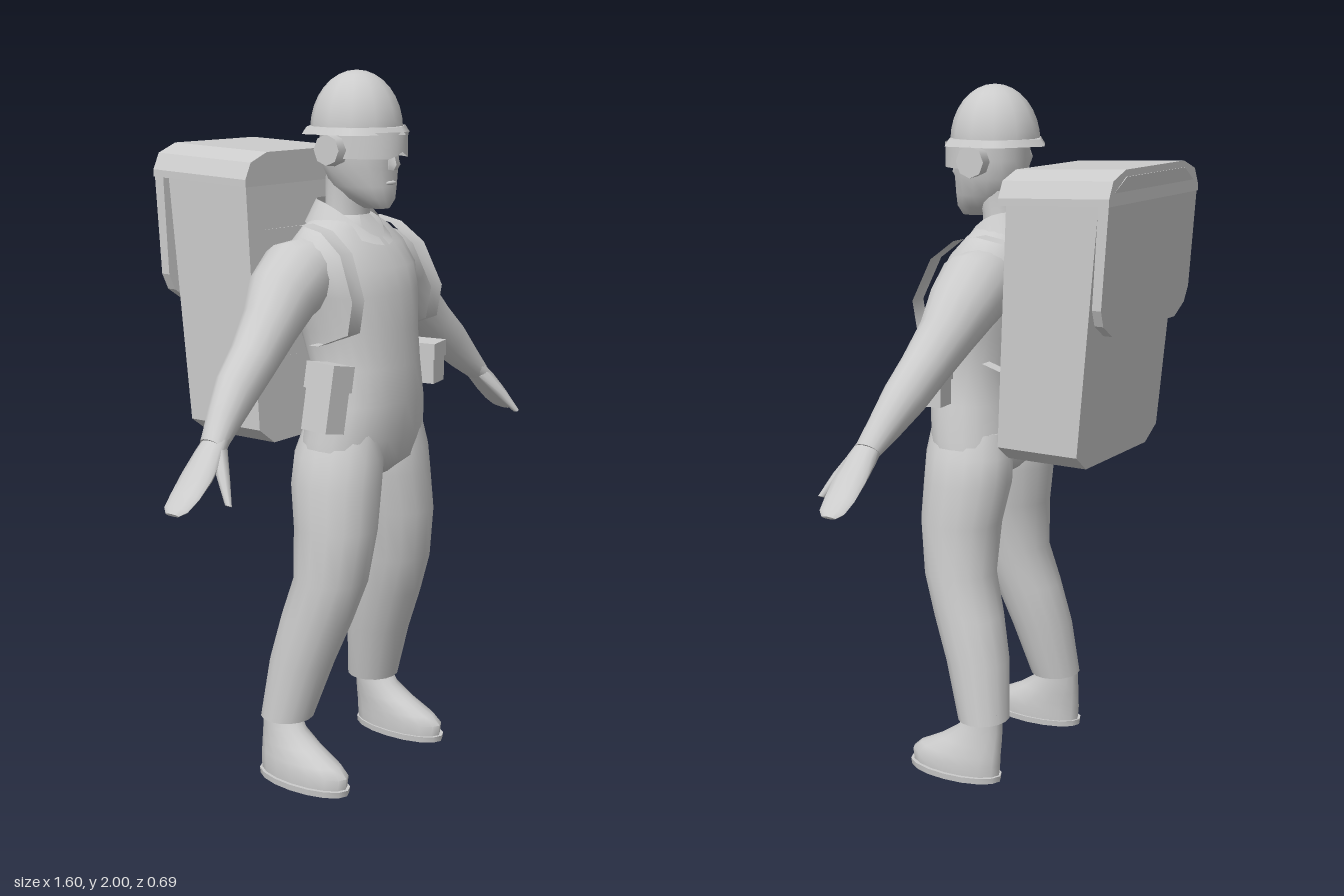
import * as THREE from 'three';
import { toCreasedNormals } from 'three/addons/utils/BufferGeometryUtils.js';

const grey = new THREE.MeshStandardMaterial({ color: 0xcccccc });
const thin = new THREE.MeshStandardMaterial({ color: 0xcccccc, side: THREE.DoubleSide });

// Closed skin over oval rings [x, y, z, ru, rz]; upright keeps the rings level
function loft(rings, { upright = true, sides = 16, square = 1 } = {}) {
  const first = rings[0], last = rings[rings.length - 1];
  const all = [[...first.slice(0, 3), 0, 0], ...rings, [...last.slice(0, 3), 0, 0]];
  const up = last[1] > first[1] ? 1 : -1;
  const pos = [], index = [];
  const bend = v => Math.sign(v) * Math.abs(v) ** square;
  all.forEach(([x, y, z, ru, rz], i) => {
    const k = Math.min(Math.max(i - 1, 0), rings.length - 1);
    const p = rings[Math.max(k - 1, 0)], n = rings[Math.min(k + 1, rings.length - 1)];
    const d = upright ? new THREE.Vector2(0, up) : new THREE.Vector2(n[0] - p[0], n[1] - p[1]).normalize();
    for (let j = 0; j < sides; j++) {
      const a = j / sides * Math.PI * 2, c = bend(Math.cos(a)) * ru;
      pos.push(x - d.y * c, y + d.x * c, z + bend(Math.sin(a)) * rz);
    }
    if (i === 0) return;
    for (let j = 0; j < sides; j++) {
      const a = (i - 1) * sides + j, b = (i - 1) * sides + (j + 1) % sides;
      index.push(a, b, a + sides, b, b + sides, a + sides);
    }
  });
  const g = new THREE.BufferGeometry();
  g.setAttribute('position', new THREE.Float32BufferAttribute(pos, 3));
  g.setIndex(index);
  return toCreasedNormals(g, 0.9);
}

// Level rings given as [y, half width, back z, front z, x]
const levels = (list, s = 1) => list.map(([y, r, b, f, x = 0]) => [s * x, y, (b + f) / 2, r, (f - b) / 2]);

function reshape(g, rule) {
  const p = g.attributes.position, v = new THREE.Vector3();
  for (let i = 0; i < p.count; i++) {
    rule(v.fromBufferAttribute(p, i), i);
    p.setXYZ(i, v.x, v.y, v.z);
  }
  g.computeVertexNormals();
  return g;
}

// Mirrored outline pushed through depth, with back and front z depending on height
function slab(half, back, front) {
  const pts = [...half, ...half.map(([x, y]) => [-x, y]).reverse()].map(p => new THREE.Vector2(...p));
  const g = new THREE.ExtrudeGeometry(new THREE.Shape(pts), { depth: 1, bevelEnabled: false });
  return reshape(g, v => { v.z = back(v.y) + (front(v.y) - back(v.y)) * v.z; });
}

// Flat band along a path, its width running across x
function band(path, width) {
  return reshape(new THREE.PlaneGeometry(1, 1, 1, path.length - 1), (v, i) => {
    const [x, y, z] = path[i >> 1];
    v.set(x + (i % 2 ? width : -width) / 2, y, z);
  });
}

export function createModel() {
  const model = new THREE.Group();
  const add = (name, g, m = grey, parent = model) => {
    const mesh = new THREE.Mesh(g, m);
    mesh.name = name;
    parent.add(mesh);
    return mesh;
  };

  // Overalls body
  add('torso', loft(levels([
    [0.885, 0.09, 0.11, 0.27], [0.93, 0.215, 0.065, 0.32], [1.0, 0.21, 0.065, 0.335],
    [1.1, 0.185, 0.08, 0.345], [1.2, 0.17, 0.07, 0.34], [1.3, 0.178, 0.035, 0.33],
    [1.4, 0.2, 0.005, 0.32], [1.47, 0.215, -0.005, 0.3], [1.53, 0.2, 0.015, 0.26],
    [1.575, 0.15, 0.04, 0.225], [1.61, 0.08, 0.065, 0.2]]), { sides: 24, square: 0.88 }));

  // Head and neck
  add('neck', loft(levels([[1.56, 0.075, 0.06, 0.2], [1.64, 0.066, 0.08, 0.2], [1.72, 0.07, 0.08, 0.22]])));
  add('head', loft(levels([
    [1.63, 0.03, 0.2, 0.275], [1.655, 0.058, 0.15, 0.288], [1.69, 0.08, 0.1, 0.288], [1.74, 0.097, 0.078, 0.288],
    [1.79, 0.105, 0.07, 0.29], [1.85, 0.105, 0.07, 0.285]]), { square: 0.92 }));
  add('nose', loft(levels([[1.735, 0.016, 0.27, 0.302], [1.75, 0.019, 0.27, 0.312], [1.8, 0.01, 0.27, 0.295]]), { sides: 6 }));
  add('mouth', new THREE.SphereGeometry(0.02, 8, 6).scale(1.2, 0.3, 0.4)).position.set(0, 1.7, 0.286);

  // Collar, open at the throat
  add('collar', reshape(new THREE.PlaneGeometry(1, 1, 20, 1), v => {
    const a = v.x * 2 * Math.PI * 0.97, low = v.y < 0, front = (1 - Math.cos(a)) / 2;
    const r = low ? 0.115 : 0.083;
    v.set(Math.sin(a) * r, (low ? 1.585 : 1.65) - front ** 3 * (low ? 0.055 : 0.1),
      0.13 - Math.cos(a) * (r - 0.005) + front ** 3 * (low ? 0.035 : 0.045));
  }), thin);

  // Helmet with six-sided brim
  const helmet = new THREE.Group();
  helmet.name = 'helmet';
  helmet.position.set(0, 1.84, 0.168);
  model.add(helmet);
  add('dome', new THREE.SphereGeometry(1, 12, 8, 0, Math.PI * 2, 0, Math.PI / 2).scale(0.128, 0.16, 0.128), grey, helmet);
  add('brim', new THREE.CylinderGeometry(0.148, 0.162, 0.02, 6).toNonIndexed(), grey, helmet);

  // Wraparound goggles, notched over the nose
  add('goggles', reshape(new THREE.CylinderGeometry(1, 1, 0.07, 16, 1, true, -Math.PI / 2, Math.PI), v => {
    if (v.y < 0) v.y += 0.018 * Math.max(0, 1 - Math.abs(v.x) * 3);
    v.set(v.x * 0.112, v.y + 1.802, 0.17 + v.z * 0.152);
  }), thin);

  for (const s of [1, -1]) {
    const side = s > 0 ? 'left' : 'right';
    const part = (name, g, m) => add(side + name, g, m);

    part('EarMuff', new THREE.CylinderGeometry(0.042, 0.045, 0.04, 8).rotateZ(Math.PI / 2)).position.set(s * 0.118, 1.79, 0.168);

    // Limbs
    part('Arm', loft([
      [0.12, 1.48, 0.12, 0.08, 0.09], [0.2, 1.45, 0.115, 0.108, 0.108], [0.265, 1.405, 0.115, 0.097, 0.1],
      [0.33, 1.335, 0.125, 0.08, 0.08], [0.42, 1.255, 0.14, 0.068, 0.067], [0.5, 1.19, 0.15, 0.062, 0.06],
      [0.57, 1.125, 0.165, 0.047, 0.047], [0.63, 1.07, 0.18, 0.03, 0.038]]
      .map(([x, ...r]) => [s * x, ...r]), { upright: false }));
    part('Hand', loft([
      [0.6, 1.095, 0.18, 0.028, 0.034], [0.65, 1.05, 0.185, 0.027, 0.044], [0.7, 1.005, 0.188, 0.021, 0.05],
      [0.745, 0.965, 0.188, 0.014, 0.048], [0.78, 0.938, 0.188, 0.01, 0.04], [0.795, 0.927, 0.188, 0.005, 0.022]]
      .map(([x, ...r]) => [s * x, ...r]), { upright: false, sides: 12 }));
    part('Thumb', loft([
      [0.625, 1.07, 0.2, 0.022, 0.022], [0.665, 1.005, 0.245, 0.017, 0.02], [0.695, 0.945, 0.287, 0.008, 0.01]]
      .map(([x, ...r]) => [s * x, ...r]), { upright: false, sides: 8 }));
    part('Leg', loft(levels([
      [0.18, 0.08, 0.015, 0.165, 0.212], [0.35, 0.093, 0.03, 0.22, 0.187], [0.48, 0.102, 0.06, 0.27, 0.17],
      [0.6, 0.107, 0.095, 0.31, 0.155], [0.75, 0.114, 0.085, 0.33, 0.14], [0.87, 0.121, 0.062, 0.328, 0.122],
      [0.95, 0.115, 0.062, 0.328, 0.11], [1.02, 0.09, 0.08, 0.32, 0.1]], s)));

    // Boots
    part('Boot', loft(levels([
      [0.015, 0.062, 0.025, 0.318, 0.238], [0.05, 0.064, 0.022, 0.322, 0.238], [0.075, 0.06, 0.022, 0.295, 0.236],
      [0.11, 0.054, 0.022, 0.225, 0.232], [0.15, 0.047, 0.022, 0.165, 0.228], [0.21, 0.045, 0.022, 0.13, 0.226]], s)));
    part('Sole', loft(levels([[0, 0.068, 0.02, 0.325, 0.24], [0.018, 0.07, 0.018, 0.328, 0.24]], s)));

    // Pack straps
    part('ShoulderStrap', band([
      [0.19, 1.27, 0.17], [0.185, 1.27, 0.2], [0.187, 1.31, 0.3], [0.188, 1.4, 0.315],
      [0.172, 1.52, 0.262], [0.163, 1.575, 0.19], [0.16, 1.59, 0.12], [0.16, 1.565, -0.03]]
      .map(([x, y, z]) => [s * x, y, z]), 0.055), thin);
    part('LowerStrap', band([[s * 0.17, 1.235, 0.1], [s * 0.17, 1.205, 0]], 0.04), thin);

    // Belt pouch with flap; the right one is taller and tilted
    const pouch = new THREE.Group();
    const h = s > 0 ? 0.115 : 0.18;
    pouch.name = side + 'Pouch';
    pouch.position.set(s * 0.235, s > 0 ? 1.168 : 1.135, 0.245);
    pouch.rotation.set(0, s * 0.15, s > 0 ? 0.03 : -0.17);
    model.add(pouch);
    add('pouchBody', new THREE.BoxGeometry(0.07, h, 0.095), grey, pouch);
    add('pouchFlap', new THREE.BoxGeometry(0.08, h * 0.4, 0.105), grey, pouch).position.y = h * 0.33;
  }

  // Backpack: tapering body, lid and hanging flap
  const pack = new THREE.Group();
  pack.name = 'backpack';
  model.add(pack);
  add('packBody', slab([[0.18, 0.97], [0.242, 1.015], [0.25, 1.7], [0.18, 1.76]],
    y => -0.23 - 0.097 * (y - 0.97), y => 0.02 - 0.055 * (y - 0.97)), grey, pack);
  add('packLid', reshape(slab([[0.268, 1.69], [0.268, 1.71], [0.245, 1.755], [0.175, 1.78]],
    () => -0.342, () => -0.006), v => { v.y -= v.z * 0.04; }), grey, pack);
  add('packFlap', slab([[0.19, 1.35], [0.245, 1.385], [0.265, 1.43], [0.265, 1.72], [0.175, 1.775]],
    y => -0.313 - 0.075 * (y - 1.35), y => -0.287 - 0.06 * (y - 1.35)), grey, pack);

  return model;
}
